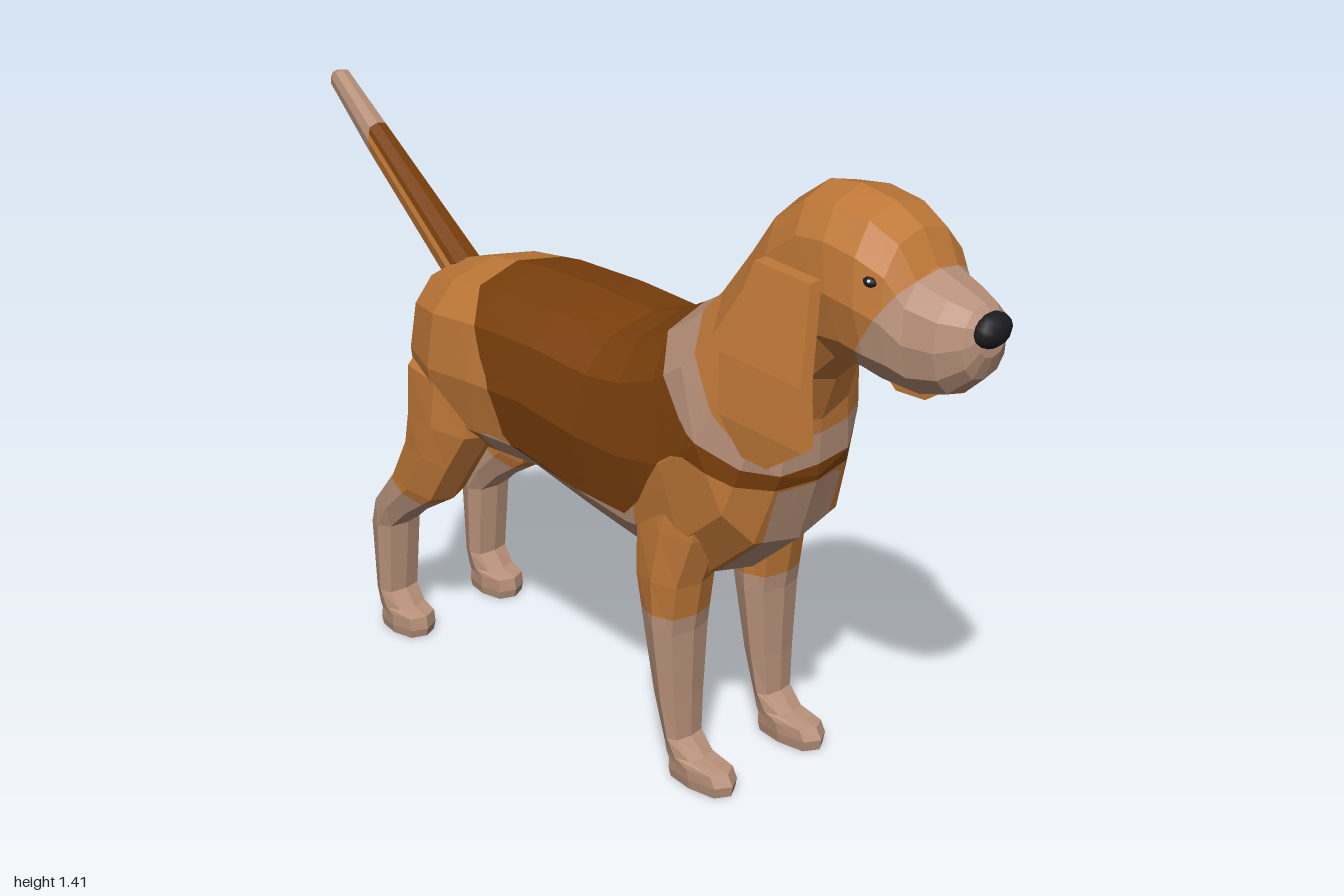
import * as THREE from 'three';

const mat = (name, color) => {
  const m = new THREE.MeshStandardMaterial({ color });
  m.name = name;
  return m;
};
const V = (x, y, z) => new THREE.Vector3(x, y, z);

// Piecewise linear curve through [x, y] points
function curve(pts, x) {
  if (x <= pts[0][0]) return pts[0][1];
  for (let i = 1; i < pts.length; i++) {
    const [x0, y0] = pts[i - 1], [x1, y1] = pts[i];
    if (x <= x1) return y0 + (y1 - y0) * (x - x0) / (x1 - x0);
  }
  return pts[pts.length - 1][1];
}

// Tilted ring between two points of the side profile, with half width w around xc
function ring([pz, py, qz, qy, w, xc = 0], sides, power) {
  const pow = (v) => Math.sign(v) * Math.pow(Math.abs(v), power);
  return Array.from({ length: sides }, (_, k) => {
    const a = (k / sides) * Math.PI * 2;
    const c = Math.abs(Math.cos(a)) < 1e-6 ? 0 : pow(Math.cos(a));
    const s = Math.abs(Math.sin(a)) < 1e-6 ? 0 : pow(Math.sin(a));
    return V(xc + w * s, (py + qy) / 2 + c * (py - qy) / 2, (pz + qz) / 2 + c * (pz - qz) / 2);
  });
}

// Closed skin over rings as a list of triangles; each panel is divided n by n
function loft(rings, n = 1) {
  const tris = [];
  const quad = (a, b, c, d) => {
    const at = (u, v) => a.clone().lerp(b, u).lerp(d.clone().lerp(c, u), v);
    for (let i = 0; i < n; i++) for (let j = 0; j < n; j++) {
      const p = at(i / n, j / n), q = at((i + 1) / n, j / n);
      const r = at((i + 1) / n, (j + 1) / n), s = at(i / n, (j + 1) / n);
      tris.push([p, q, r], [p, r, s]);
    }
  };
  const m = rings[0].length;
  for (let i = 0; i + 1 < rings.length; i++) for (let k = 0; k < m; k++) {
    const l = (k + 1) % m;
    quad(rings[i][k], rings[i + 1][k], rings[i + 1][l], rings[i][l]);
  }
  for (const [r, flip] of [[rings[0], false], [rings[rings.length - 1], true]]) {
    const c = r.reduce((s, p) => s.add(p), V(0, 0, 0)).divideScalar(m);
    r.forEach((p, k) => {
      const q = r[(k + 1) % m];
      tris.push(flip ? [c, q, p] : [c, p, q]);
    });
  }
  // turn the skin outward
  const volume = tris.reduce((s, [a, b, c]) => s + a.dot(b.clone().cross(c)), 0);
  return volume < 0 ? tris.map(([a, b, c]) => [a, c, b]) : tris;
}

// Splits triangles along f = 0 into [f > 0, f < 0]
function cut(tris, f) {
  return [1, -1].map((sign) => {
    const out = [];
    for (const t of tris) {
      const poly = [];
      t.forEach((p, i) => {
        const q = t[(i + 1) % 3], fp = sign * f(p), fq = sign * f(q);
        if (fp > 0 || (fp === 0 && sign > 0)) poly.push(p);
        if (fp * fq < 0) poly.push(p.clone().lerp(q, fp / (fp - fq)));
      });
      for (let i = 2; i < poly.length; i++) out.push([poly[0], poly[i - 1], poly[i]]);
    }
    return out;
  });
}

function skin(name, tris, material) {
  const g = new THREE.BufferGeometry();
  g.setAttribute('position', new THREE.Float32BufferAttribute(tris.flat().flatMap((p) => [p.x, p.y, p.z]), 3));
  g.computeVertexNormals();
  const mesh = new THREE.Mesh(g, material);
  mesh.name = name;
  return mesh;
}

export function createModel() {
  const tan = mat('tan coat', 0xbf7838), brown = mat('brown saddle', 0x7a3f0c);
  const cream = mat('cream coat', 0xb8917a), black = mat('black', 0x1c1c1e), white = mat('eye glint', 0xe8e8e8);
  const dog = new THREE.Group();
  dog.name = 'dog';

  // Trunk, neck and head: top z, y, bottom z, y, half width
  const trunk = [
    [-0.595, 0.86, -0.59, 0.68, 0.10], [-0.56, 0.92, -0.57, 0.57, 0.155],
    [-0.45, 0.955, -0.45, 0.53, 0.205], [-0.3, 0.975, -0.32, 0.54, 0.213],
    [-0.1, 0.98, -0.18, 0.55, 0.215], [0.06, 0.975, 0.0, 0.51, 0.215],
    [0.14, 1.0, 0.18, 0.475, 0.215], [0.22, 1.045, 0.36, 0.475, 0.215],
    [0.29, 1.09, 0.49, 0.59, 0.212], [0.35, 1.16, 0.54, 0.75, 0.188],
    [0.42, 1.26, 0.545, 0.88, 0.16], [0.47, 1.34, 0.58, 0.98, 0.143],
    [0.55, 1.4, 0.65, 1.05, 0.142], [0.63, 1.412, 0.72, 1.055, 0.148],
    [0.72, 1.4, 0.77, 1.045, 0.146], [0.79, 1.365, 0.81, 1.04, 0.13],
    [0.83, 1.295, 0.85, 1.037, 0.112], [0.9, 1.272, 0.91, 1.055, 0.095],
    [0.95, 1.255, 0.958, 1.1, 0.066], [0.968, 1.235, 0.975, 1.15, 0.04],
  ];
  const body = loft(trunk.map((r, i) => ring(r, 12, i < 9 ? 0.76 : 0.88)), 3);

  // Coat markings as boundary curves of height over z
  const neckTop = [[0.2, 1.35], [0.31, 1.107], [0.4, 0.945], [0.46, 0.87], [0.56, 0.845]];
  const neckLow = [[0.1, 1.2], [0.21, 1.04], [0.353, 0.86], [0.53, 0.778]];
  const saddleLow = [[-0.4, 1.0], [-0.37, 0.957], [-0.26, 0.84], [-0.235, 0.706], [-0.19, 0.61],
    [0.19, 0.6], [0.28, 0.76], [0.34, 0.805], [0.53, 0.74]];
  const [head, rest] = cut(body, (p) => p.y - curve(neckTop, p.z));
  const [muzzle, face] = cut(head, (p) => Math.min(p.z - 0.83 + 0.6 * (1.28 - p.y), p.y - 1));
  const [collar, torso] = cut(rest, (p) => p.y - curve(neckLow, p.z));
  const [saddle, lower] = cut(torso, (p) => p.y - curve(saddleLow, p.z));
  const [belly, flanks] = cut(lower, (p) => Math.min(
    p.z + 0.31,
    curve([[0.2, 0.64], [0.35, 0.735]], p.z) - p.y,
    Math.max(0.1 - Math.abs(p.x), Math.min(0.64 - p.y, 0.2 - p.z)),
  ));
  dog.add(skin('head', face, tan), skin('muzzle', muzzle, cream), skin('neckBand', collar, cream),
    skin('saddle', saddle, brown), skin('belly', belly, cream), skin('flanks', flanks, tan));

  // Legs: front z, y, back z, y, half width
  const frontLeg = [
    [0.42, 0.72, 0.2, 0.72, 0.05], [0.39, 0.6, 0.18, 0.6, 0.066], [0.345, 0.48, 0.19, 0.48, 0.074],
    [0.325, 0.36, 0.215, 0.36, 0.07], [0.32, 0.2, 0.24, 0.2, 0.057], [0.32, 0.1, 0.265, 0.1, 0.048],
    [0.36, 0.062, 0.27, 0.06, 0.046], [0.43, 0.05, 0.268, 0.045, 0.045],
    [0.445, 0.025, 0.265, 0.02, 0.045], [0.44, 0, 0.27, 0, 0.042],
  ];
  const hindLeg = [
    [-0.3, 0.7, -0.57, 0.72, 0.06], [-0.315, 0.6, -0.565, 0.6, 0.07], [-0.385, 0.5, -0.57, 0.53, 0.07],
    [-0.45, 0.4, -0.62, 0.43, 0.066], [-0.55, 0.335, -0.69, 0.335, 0.06], [-0.615, 0.28, -0.702, 0.27, 0.057],
    [-0.63, 0.1, -0.695, 0.1, 0.052], [-0.6, 0.062, -0.69, 0.06, 0.05],
    [-0.56, 0.05, -0.69, 0.045, 0.048], [-0.555, 0.02, -0.695, 0.02, 0.048], [-0.56, 0, -0.69, 0, 0.045],
  ];
  // Ears: y, back z, front z, inner x
  const earRows = [[1.257, 0.5, 0.66, 0.135], [1.07, 0.46, 0.7, 0.195], [0.95, 0.487, 0.73, 0.218], [0.88, 0.556, 0.63, 0.218]];

  for (const [side, s] of [['left', 1], ['right', -1]]) {
    for (const [name, rows, line] of [
      ['FrontLeg', frontLeg, (p) => p.y - 0.4],
      ['HindLeg', hindLeg, (p) => p.y - 0.395 + 0.34 * (p.z + 0.55)],
    ]) {
      const [upper, sock] = cut(loft(rows.map((r) => ring([...r, s * 0.14], 8, 0.75))), line);
      const leg = new THREE.Group();
      leg.name = side + name;
      leg.add(skin('upperLeg', upper, tan), skin('sock', sock, cream));
      dog.add(leg);
    }

    const ear = loft(earRows.map(([y, z0, z1, x]) => [[0, z0], [0, z1], [0.033, z1], [0.033, z0]]
      .map(([t, z]) => V(s * (x + t + 0.08 * (z - 0.6)), y, z))));
    dog.add(skin(side + 'Ear', ear, tan));

    const eye = new THREE.Mesh(new THREE.SphereGeometry(1, 8, 6), black);
    eye.name = side + 'Eye';
    eye.scale.set(0.01, 0.012, 0.018);
    eye.position.set(s * 0.122, 1.278, 0.765);
    const glint = new THREE.Mesh(new THREE.SphereGeometry(0.004, 6, 4), white);
    glint.name = side + 'EyeGlint';
    glint.position.set(s * 0.131, 1.283, 0.771);
    dog.add(eye, glint);
  }

  // Tail with a dark upper side and a pale tip
  const tail = loft([
    [-0.53, 0.92, -0.575, 0.865, 0.043], [-0.825, 1.155, -0.86, 1.11, 0.03],
    [-0.965, 1.268, -0.99, 1.232, 0.022], [-0.985, 1.265, -0.998, 1.243, 0.012],
  ].map((r) => ring(r, 8, 0.6)));
  const [tip, stem] = cut(tail, (p) => -0.845 - p.z);
  const [ridge, under] = cut(stem, (p) => p.y - 0.8925 + 0.82 * (p.z + 0.5525) - 0.018);
  dog.add(skin('tailTip', tip, cream), skin('tailTop', ridge, brown), skin('tail', under, tan));

  // Nose
  const nose = new THREE.Mesh(new THREE.SphereGeometry(1, 12, 8), black);
  nose.name = 'nose';
  nose.scale.set(0.05, 0.036, 0.03);
  nose.position.set(0, 1.205, 0.97);
  dog.add(nose);

  return dog;
}
